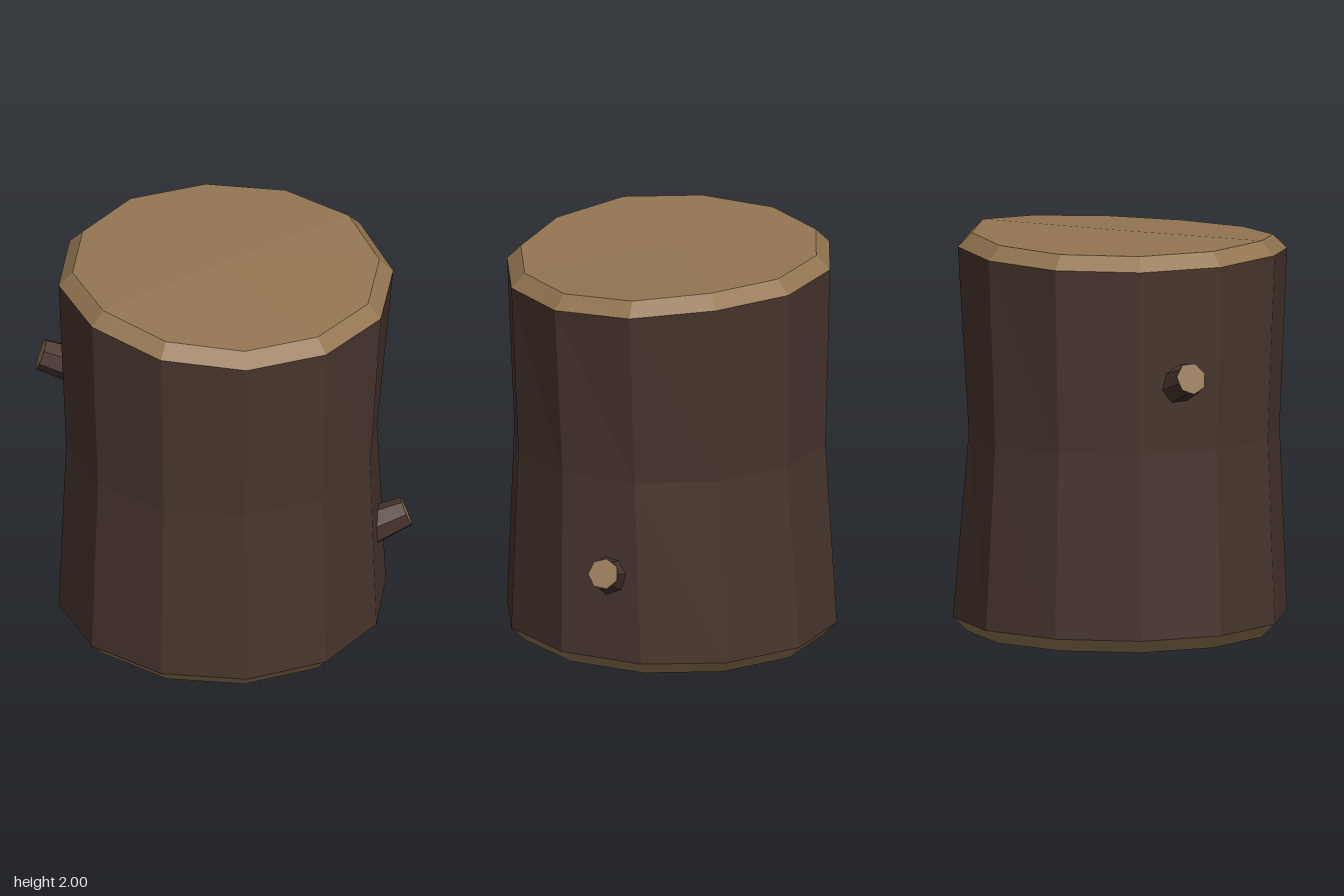
import * as THREE from 'three';

const SIDES = 12;

// One twelve-sided ring; twist slides the +x side along z, lean pulls it inward,
// and slope lowers the front half.
function ring(radius, y, { twist = 0, lean = 0, slope = 0 } = {}) {
  const points = [];
  for (let i = 0; i < SIDES; i++) {
    const a = (i / SIDES) * Math.PI * 2;
    const c = Math.cos(a), s = Math.sin(a);
    const side = Math.min(1, Math.max(0, c) * 1.2);
    points.push(new THREE.Vector3(
      radius * c - lean * Math.max(0, c) ** 2,
      y - slope * Math.max(0, s),
      radius * s + twist * side
    ));
  }
  return points;
}

function flatGeometry(triangles) {
  const geometry = new THREE.BufferGeometry().setFromPoints(triangles);
  geometry.computeVertexNormals();
  return geometry;
}

// Wall between rings listed from bottom to top
function wall(rings) {
  const out = [];
  for (let k = 0; k < rings.length - 1; k++) {
    const lo = rings[k], up = rings[k + 1];
    for (let i = 0; i < SIDES; i++) {
      const j = (i + 1) % SIDES;
      out.push(lo[i], up[i], up[j], lo[i], up[j], lo[j]);
    }
  }
  return out;
}

// Fan closing a ring
function disc(points, y, facingUp) {
  const centre = new THREE.Vector3(0, y, 0);
  const out = [];
  for (let i = 0; i < SIDES; i++) {
    const j = (i + 1) % SIDES;
    if (facingUp) out.push(centre, points[j], points[i]);
    else out.push(centre, points[i], points[j]);
  }
  return out;
}

export function createModel() {
  const bark = new THREE.MeshStandardMaterial({ color: 0x49352e });
  bark.name = 'bark';
  const wood = new THREE.MeshStandardMaterial({ color: 0x947652 });
  wood.name = 'cutWood';

  const group = new THREE.Group();
  group.name = 'log';
  const add = (name, geometry, material, parent = group) => {
    const mesh = new THREE.Mesh(geometry, material);
    mesh.name = name;
    parent.add(mesh);
    return mesh;
  };

  // Trunk with a slight waist and bevelled, cut ends
  const foot = ring(0.76, 0, { twist: -0.03 });
  const barkBottom = ring(0.83, 0.07, { twist: -0.03 });
  const waist = ring(0.793, 1, { lean: 0.043 });
  const barkTop = ring(0.83, 1.93, { twist: 0.03, slope: 0.07 });
  const crown = ring(0.76, 2, { twist: 0.03, slope: 0.07 });

  add('trunkBark', flatGeometry(wall([barkBottom, waist, barkTop])), bark);
  add('topCut', flatGeometry([...wall([barkTop, crown]), ...disc(crown, 2, true)]), wood);
  add('bottomCut', flatGeometry([...wall([foot, barkBottom]), ...disc(foot, 0, false)]), wood);

  // Cut branch stubs, buried a little in the trunk
  const stub = (name, tip, direction, tipRadius, baseRadius) => {
    const length = 0.26;
    const branch = new THREE.Group();
    branch.name = name;
    branch.position.set(...tip);
    branch.quaternion.setFromUnitVectors(
      new THREE.Vector3(0, 1, 0), new THREE.Vector3(...direction).normalize());
    const side = new THREE.CylinderGeometry(tipRadius, baseRadius, length, 7, 1, true).toNonIndexed();
    side.translate(0, -length / 2, 0);
    side.computeVertexNormals();
    add(name + 'Bark', side, bark, branch);
    const end = new THREE.CircleGeometry(tipRadius, 7);
    end.rotateX(-Math.PI / 2);
    end.rotateY(-Math.PI / 2 + Math.PI);
    // Line the disc's corners up with the cylinder's
    add(name + 'Cut', end, wood, branch);
    group.add(branch);
  };
  stub('frontBranch', [0.7, 0.56, 0.575], [0.8, 0.36, 0.46], 0.077, 0.105);
  stub('backBranch', [-0.655, 1.4, -0.64], [-0.72, 0.33, -0.62], 0.08, 0.1);

  return group;
}
